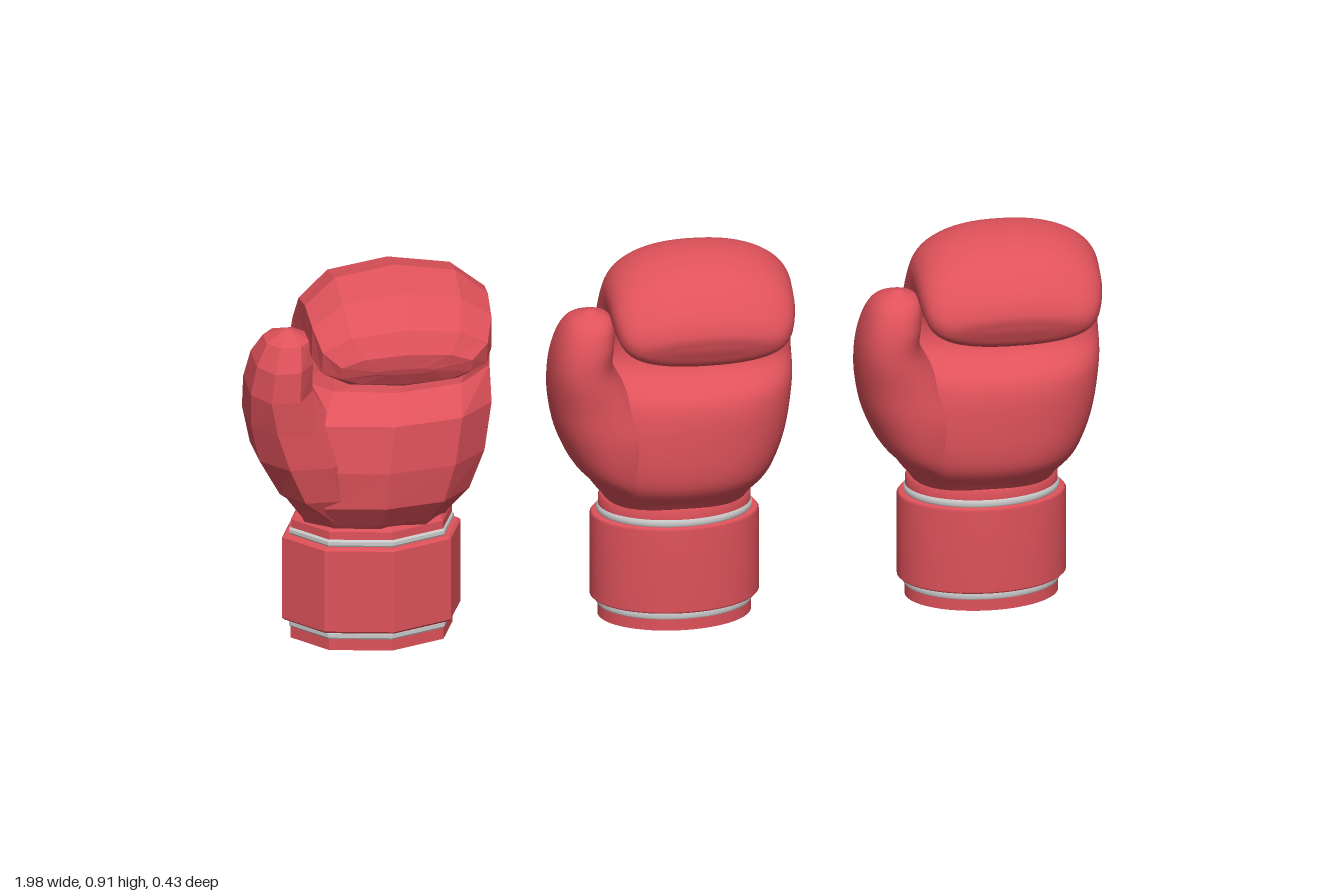
import * as THREE from 'three';

const red = { color: 0xe0525b };
const white = { color: 0xdcdcdc };

// Each station: palm-side z, y; back-side z, y; x from, x to
const FIST = [
  [0.06, 0.28, -0.17, 0.28, -0.16, 0.16],
  [0.08, 0.305, -0.18, 0.30, -0.17, 0.17],
  [0.12, 0.36, -0.2, 0.36, -0.21, 0.215],
  [0.13, 0.45, -0.215, 0.45, -0.235, 0.25],
  [0.12, 0.56, -0.22, 0.57, -0.22, 0.268],
  [0.06, 0.62, -0.212, 0.68, -0.185, 0.27],
  [0.048, 0.67, -0.18, 0.79, -0.175, 0.27],
  [0.07, 0.69, -0.1, 0.885, -0.172, 0.262],
  [0.095, 0.682, 0.01, 0.907, -0.172, 0.255],
  [0.12, 0.674, 0.12, 0.878, -0.17, 0.248],
  [0.15, 0.672, 0.185, 0.815, -0.155, 0.23],
  [0.18, 0.685, 0.208, 0.765, -0.115, 0.19],
  [0.197, 0.715, 0.203, 0.73, -0.03, 0.1],
];
const THUMB = [
  [0.07, 0.31, -0.14, 0.31, -0.14, 0],
  [0.11, 0.38, -0.16, 0.38, -0.23, -0.05],
  [0.13, 0.47, -0.15, 0.47, -0.28, -0.06],
  [0.135, 0.56, -0.12, 0.57, -0.302, -0.11],
  [0.143, 0.64, -0.075, 0.66, -0.305, -0.16],
  [0.14, 0.71, -0.04, 0.73, -0.292, -0.16],
  [0.115, 0.765, -0.005, 0.77, -0.267, -0.165],
  [0.065, 0.79, 0.05, 0.79, -0.222, -0.205],
];

// Skin a run of rounded cross-sections; steps = subdivisions between stations
function loft(stations, steps, sides, swell) {
  const palm = new THREE.CatmullRomCurve3(
    stations.map(s => new THREE.Vector3(s[4], s[1], s[0])), false, 'catmullrom');
  const back = new THREE.CatmullRomCurve3(
    stations.map(s => new THREE.Vector3(s[5], s[3], s[2])), false, 'catmullrom');
  const rows = (stations.length - 1) * steps;
  const soft = v => Math.sign(v) * Math.abs(v) ** 0.87;
  const pos = [], idx = [];
  for (let i = 0; i <= rows; i++) {
    const p = palm.getPoint(i / rows), b = back.getPoint(i / rows);
    const c = p.clone().add(b).multiplyScalar(0.5);
    const w = (b.x - p.x) / 2 * swell;
    for (let j = 0; j < sides; j++) {
      const a = (j + 0.5) / sides * Math.PI * 2;
      const k = soft(Math.sin(a)) * swell;
      pos.push(c.x + w * soft(Math.cos(a)), c.y + (p.y - c.y) * k, c.z + (p.z - c.z) * k);
      if (i < rows) {
        const n = (j + 1) % sides, r = i * sides, u = r + sides;
        idx.push(r + j, u + j, r + n, u + j, u + n, r + n);
      }
    }
  }
  // close the tip
  const tip = palm.getPoint(1).add(back.getPoint(1)).multiplyScalar(0.5);
  pos.push(tip.x, tip.y, tip.z);
  const last = rows * sides;
  for (let j = 0; j < sides; j++) idx.push(last + j, last + sides, last + (j + 1) % sides);
  const g = new THREE.BufferGeometry();
  g.setAttribute('position', new THREE.Float32BufferAttribute(pos, 3));
  g.setIndex(idx);
  g.computeVertexNormals();
  return g;
}

function makeGlove(name, faceted) {
  const glove = new THREE.Group();
  glove.name = name;
  const sides = faceted ? 8 : 64;
  const swell = faceted ? 1.09 : 1;
  const add = (part, geometry, paint) => {
    const mesh = new THREE.Mesh(geometry, new THREE.MeshStandardMaterial({
      ...paint, flatShading: faceted, side: THREE.DoubleSide }));
    mesh.name = part;
    glove.add(mesh);
    return mesh;
  };

  // padded fist and thumb
  add('fist', loft(FIST, faceted ? 1 : 6, faceted ? 10 : 64, faceted ? 1.035 : 1), red);
  add('thumb', loft(THUMB, faceted ? 1 : 6, faceted ? 8 : 40, faceted ? 1.05 : 1), red);

  // oval wrist bands, open at the bottom
  const band = (part, profile, paint) => {
    const g = new THREE.LatheGeometry(
      profile.map(([r, y]) => new THREE.Vector2(r * swell, y)), sides);
    g.rotateY(0.12);
    g.scale(1, 1, 0.74);
    g.translate(0, 0, -0.055);
    add(part, g, paint);
  };
  band('lining', [[0.168, 0], [0.165, 0.29]], red);
  band('hemRim', [[0.168, 0], [0.176, 0]], red);
  band('hem', [[0.176, 0], [0.176, 0.027]], red);
  band('lowerPiping', [[0.176, 0.027], [0.179, 0.031], [0.179, 0.04], [0.176, 0.045]], white);
  band('cuff', [[0.174, 0.045], [0.189, 0.045], [0.194, 0.05], [0.194, 0.246], [0.189, 0.252], [0.174, 0.252]], red);
  band('upperPiping', [[0.176, 0.252], [0.179, 0.256], [0.179, 0.264], [0.175, 0.269]], white);
  band('neck', [[0.175, 0.269], [0.175, 0.288], [0.168, 0.298], [0.155, 0.3]], red);
  return glove;
}

export function createModel() {
  const model = new THREE.Group();
  model.name = 'boxingGloves';
  [['facetedGlove', -0.68, true], ['smoothGloveMiddle', 0.02, false], ['smoothGloveLeft', 0.73, false]]
    .forEach(([name, x, faceted]) => {
      const glove = makeGlove(name, faceted);
      glove.position.x = x;
      model.add(glove);
    });
  return model;
}
